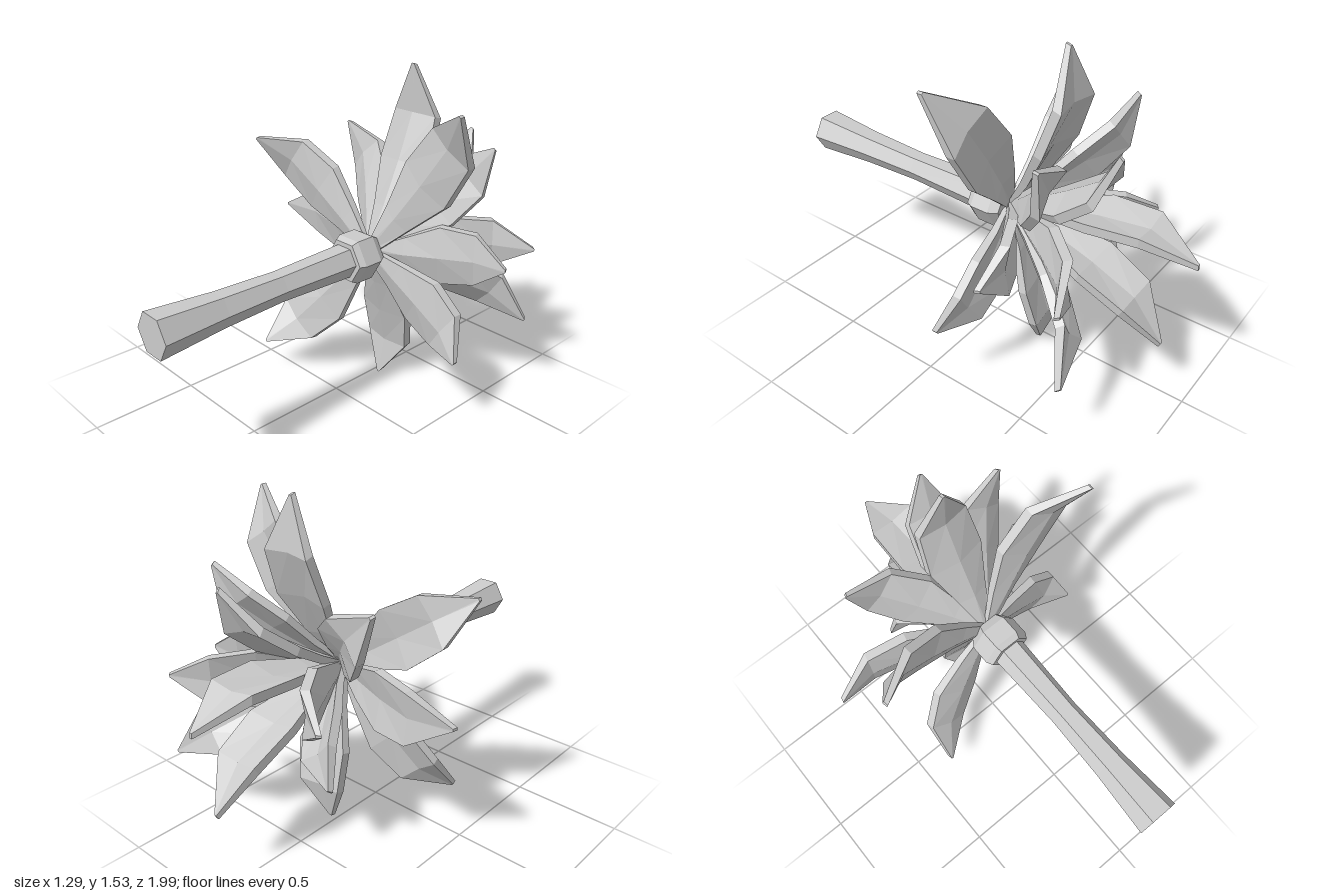
import * as THREE from 'three';

const material = new THREE.MeshStandardMaterial({ color: 0xcccccc, flatShading: true });
const AXIS = { x: 0.08, y: 0.72 };

// Six-sided turned part along z, from [radius, z] pairs with rising z
function turned(name, profile) {
  const points = profile.map(([r, z]) => new THREE.Vector2(r, z));
  const geometry = new THREE.LatheGeometry(points, 6, Math.PI / 2)
    .rotateX(Math.PI / 2).translate(AXIS.x, AXIS.y, 0).toNonIndexed();
  geometry.computeVertexNormals();
  const mesh = new THREE.Mesh(geometry, material);
  mesh.name = name;
  return mesh;
}

// Petal sections: [position along petal, half width, bow, rib depth, thickness]
const SECTIONS = [
  [0, 0.02, 0, 0, 0.02],
  [0.25, 0.075, 0.055, 0.02, 0.035],
  [0.5, 0.135, 0.093, 0.03, 0.042],
  [0.76, 0.118, 0.095, 0.018, 0.042],
  [1, 0.006, 0, 0, 0.024],
];

// Thick, ribbed petal from base to tip, bowed towards the inner direction
function petal(name, tip, width, inner = [0, 0, -1]) {
  const base = new THREE.Vector3(AXIS.x, AXIS.y, -0.13);
  const along = new THREE.Vector3(...tip).sub(base);
  const length = along.length();
  const d = along.clone().normalize();
  const n = new THREE.Vector3(...inner);
  n.addScaledVector(d, -n.dot(d)).normalize();
  const s = new THREE.Vector3().crossVectors(n, d);

  const positions = [], index = [];
  for (const [t, half, bow, rib, thickness] of SECTIONS) {
    const w = half * width, h = thickness / 2;
    const ring = [[-w, -h], [0, -h - rib], [w, -h], [w, h], [0, h - rib], [-w, h]];
    for (const [u, v] of ring) {
      const p = base.clone().addScaledVector(along, t)
        .addScaledVector(s, u).addScaledVector(n, v + bow * length / 0.8);
      positions.push(p.x, p.y, p.z);
    }
  }
  const last = (SECTIONS.length - 1) * 6;
  for (let i = 0; i < last; i += 6) {
    for (let j = 0; j < 6; j++) {
      const a = i + j, b = i + (j + 1) % 6;
      index.push(a, b, b + 6, a, b + 6, a + 6);
    }
  }
  // End caps
  for (let j = 1; j < 5; j++) index.push(0, j + 1, j, last, last + j, last + j + 1);

  let geometry = new THREE.BufferGeometry();
  geometry.setAttribute('position', new THREE.Float32BufferAttribute(positions, 3));
  geometry.setIndex(index);
  geometry = geometry.toNonIndexed();
  geometry.computeVertexNormals();
  const mesh = new THREE.Mesh(geometry, material);
  mesh.name = name;
  return mesh;
}

// Petal tips, whorl by whorl
const WHORLS = [
  { name: 'outerPetal', width: 1, tips: [
    [0.58, 1.44, -0.1], [-0.54, 1.145, 0], [-0.37, 0.165, 0.12], [0.6, 0.36, -0.13]] },
  { name: 'secondPetal', width: 1, tips: [
    [0.08, 1.53, -0.39], [0.64, 0.73, -0.39], [0.03, 0.01, -0.27], [-0.64, 0.72, -0.27]] },
  { name: 'thirdPetal', width: 0.93, tips: [
    [-0.39, 1.17, -0.46], [0.45, 1.2, -0.51], [0.55, 0.345, -0.71], [-0.22, 0.38, -0.53]] },
  { name: 'innerPetal', width: 0.95, tips: [
    [0.18, 1.2, -0.7], [0.57, 0.715, -0.7], [0.06, 0.32, -0.89], [-0.29, 0.72, -0.65]] },
];

export function createModel() {
  const flower = new THREE.Group();
  flower.name = 'flower';

  // Stem flares towards its cut end
  flower.add(turned('stem', [
    [0, -0.02], [0.078, -0.02], [0.066, 0.4], [0.076, 0.7], [0.098, 1], [0, 1]]));
  flower.add(turned('receptacle', [
    [0, -0.13], [0.09, -0.13], [0.115, -0.09], [0.115, 0], [0.1, 0.028], [0, 0.028]]));

  for (const { name, width, tips } of WHORLS) {
    const whorl = new THREE.Group();
    whorl.name = name + 's';
    tips.forEach((tip, i) => whorl.add(petal(name + (i + 1), tip, width)));
    flower.add(whorl);
  }

  // Central petal runs along the axis and arches upwards
  flower.add(petal('centralPetal', [0.03, 0.75, -0.99], 0.95, [0, 1, 0]));
  return flower;
}
